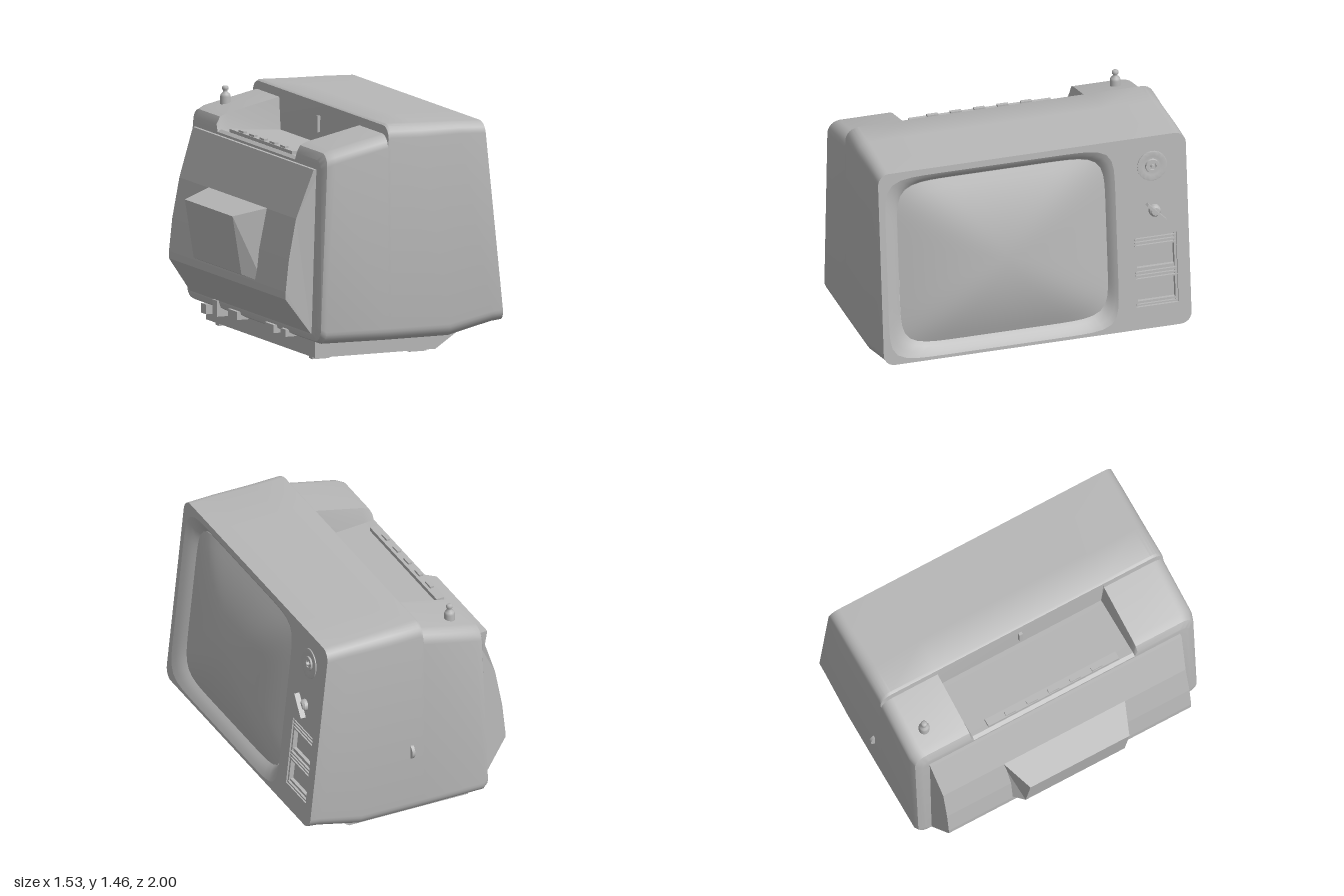
import * as THREE from 'three';
import { toCreasedNormals } from 'three/addons/utils/BufferGeometryUtils.js';

const grey = new THREE.MeshStandardMaterial({ color: 0xb8b8b8, side: THREE.DoubleSide });
grey.name = 'grey plastic';

// x of the tilted front panel at height y
const panelX = (y) => 0.758 - (y - 0.2) * 0.105;

// Skins a list of equal-length rings, optionally closing the last one
function loft(rings, cap = false, crease = 0.6) {
  const n = rings[0].length, idx = [];
  for (let i = 0; i < rings.length - 1; i++) {
    for (let j = 0; j < n; j++) {
      const k = (j + 1) % n, a = i * n + j, b = i * n + k;
      idx.push(a, b, b + n, a, b + n, a + n);
    }
  }
  if (cap) {
    const last = rings[rings.length - 1], base = (rings.length - 1) * n;
    const flat = last.map((p) => new THREE.Vector2(p[2], p[1]));
    for (const f of THREE.ShapeUtils.triangulateShape(flat, [])) idx.push(...f.map((v) => v + base));
  }
  const geo = new THREE.BufferGeometry();
  geo.setAttribute('position', new THREE.Float32BufferAttribute(rings.flat(2), 3));
  geo.setIndex(idx);
  return toCreasedNormals(geo, crease);
}

// Moves geometry drawn in panel space (across, height, out) onto the tilted panel
function onPanel(geo) {
  const p = geo.attributes.position;
  for (let i = 0; i < p.count; i++) {
    const u = p.getX(i), y = p.getY(i), d = p.getZ(i);
    p.setXYZ(i, panelX(y) + d, y, -u);
  }
  return toCreasedNormals(geo, 0.6);
}

// Rounded cross-section of the cabinet, with an optional pocket floor in its top edge
function section([xt, yt, xb, yb, hz, r, floor = yt]) {
  const pts = [], cz = 0.015;
  const arc = (z, y, start) => {
    for (let i = 0; i <= 6; i++) {
      const a = start + (i / 6) * Math.PI / 2;
      pts.push([z + r * Math.cos(a), y + r * Math.sin(a)]);
    }
  };
  arc(cz + hz - r, yb + r, -Math.PI / 2);
  arc(cz + hz - r, yt - r, 0);
  pts.push([0.585, yt], [0.565, floor], [-0.555, floor], [-0.575, yt]);
  arc(cz - hz + r, yt - r, Math.PI / 2);
  arc(cz - hz + r, yb + r, Math.PI);
  return pts.map(([z, y]) => [xb + (xt - xb) * (y - yb) / (yt - yb), y, z]);
}

// Bowed rectangular loop in panel space
function bowedLoop(cu, cy, hu, hy, power, depth) {
  const pts = [];
  for (let i = 0; i < 96; i++) {
    const a = (i / 96) * Math.PI * 2, c = Math.cos(a), s = Math.sin(a);
    const k = Math.pow(Math.abs(c) ** power + Math.abs(s) ** power, -1 / power);
    pts.push([cu + hu * c * k, cy + hy * s * k, depth]);
  }
  return pts;
}

export function createModel() {
  const model = new THREE.Group();
  const add = (name, geo, x = 0, y = 0, z = 0) => {
    const mesh = new THREE.Mesh(geo, grey);
    mesh.name = name;
    mesh.position.set(x, y, z);
    model.add(mesh);
    return mesh;
  };
  const box = (name, x0, x1, y0, y1, z0, z1) =>
    add(name, new THREE.BoxGeometry(x1 - x0, y1 - y0, z1 - z0), (x0 + x1) / 2, (y0 + y1) / 2, (z0 + z1) / 2);
  const panelBox = (name, u0, u1, y0, y1, d0, d1) =>
    add(name, onPanel(new THREE.BoxGeometry(u1 - u0, y1 - y0, d1 - d0)
      .translate((u0 + u1) / 2, (y0 + y1) / 2, (d0 + d1) / 2)));
  const side = (name, points, z0, z1) => {
    const shape = new THREE.Shape(points.map((p) => new THREE.Vector2(...p)));
    return add(name, new THREE.ExtrudeGeometry(shape, { depth: z1 - z0, bevelEnabled: false }), 0, 0, z0);
  };

  // Cabinet: front to back, stepping down to the rear ledge with its pocket
  const sections = [
    [0.628, 1.44, 0.758, 0.2, 0.985, 0.07],
    [0.45, 1.447, 0.69, 0.193, 0.985, 0.07],
    [0.2, 1.453, 0.41, 0.125, 0.985, 0.08],
    [0.0, 1.46, 0.0, 0.125, 0.985, 0.08],
    [-0.016, 1.45, -0.016, 0.125, 0.985, 0.08],
    [-0.022, 1.4, -0.022, 0.125, 0.985, 0.08, 1.2],
    [-0.37, 1.325, -0.44, 0.13, 0.985, 0.08, 1.225],
    [-0.42, 1.305, -0.468, 0.145, 0.97, 0.08, 1.23],
    [-0.443, 1.26, -0.48, 0.18, 0.93, 0.07, 1.215],
  ].map(section);
  add('cabinet', loft(sections, true));

  // Front panel with openings for the screen and the tuner window
  const face = new THREE.Shape(sections[0].map((p) => new THREE.Vector2(-p[2], p[1])));
  const rim = bowedLoop(-0.225, 0.81, 0.735, 0.59, 10, 0);
  const windowRect = (d) => [[0.62, 0.345, d], [0.89, 0.345, d], [0.89, 0.8, d], [0.62, 0.8, d]];
  for (const loop of [rim, windowRect(0)]) {
    face.holes.push(new THREE.Path(loop.map((p) => new THREE.Vector2(p[0], p[1]))));
  }
  add('frontPanel', onPanel(new THREE.ShapeGeometry(face)));

  // Flared bezel and bulging screen
  const bezel = [rim,
    bowedLoop(-0.218, 0.812, 0.712, 0.568, 9, -0.012),
    bowedLoop(-0.21, 0.815, 0.685, 0.545, 8, -0.032),
    bowedLoop(-0.205, 0.815, 0.665, 0.525, 8, -0.055)];
  add('bezel', onPanel(loft(bezel)));
  const glass = [];
  for (let i = 0; i <= 10; i++) {
    const s = Math.max(1 - i / 10, 0.001);
    glass.push(bowedLoop(-0.205, 0.815, 0.665 * s, 0.525 * s, 2 + 6 * s, -0.05 + 0.11 * (1 - s * s)));
  }
  add('screen', onPanel(loft(glass)));

  // Tuner window: recess, ribbed bars and dials
  add('windowRecess', onPanel(loft([windowRect(0), windowRect(-0.04)])));
  panelBox('windowBack', 0.62, 0.89, 0.345, 0.8, -0.05, -0.04);
  for (const [y0, y1] of [[0.725, 0.8], [0.51, 0.59], [0.345, 0.375]]) {
    panelBox('windowBar', 0.62, 0.89, y0, y1, -0.04, -0.018);
    for (let y = y0 + 0.006; y < y1 - 0.01; y += 0.022) {
      panelBox('windowRib', 0.625, 0.885, y, y + 0.01, -0.018, -0.004);
    }
  }
  for (const u of [0.62, 0.875]) panelBox('windowPost', u, u + 0.015, 0.345, 0.8, -0.04, -0.01);

  // Upper dial: concentric rings around a small stem
  const dial = [[0.095, 0], [0.095, 0.006], [0.088, 0.008], [0.06, 0.002], [0.045, 0.002],
    [0.042, 0.012], [0.024, 0.012], [0.022, 0.005], [0.012, 0.005], [0.012, 0.026], [0, 0.026]];
  const lathe = (pts, seg = 32) => new THREE.LatheGeometry(pts.map((p) => new THREE.Vector2(...p)), seg);
  add('upperDial', onPanel(lathe(dial).rotateX(Math.PI / 2).translate(0.75, 1.25, 0)));

  // Lower knob with a slanted grip
  add('lowerKnob', onPanel(lathe([[0.038, 0], [0.036, 0.02], [0.025, 0.032], [0, 0.034]], 24)
    .rotateX(Math.PI / 2).translate(0.755, 0.962, 0)));
  add('knobGrip', onPanel(new THREE.BoxGeometry(0.16, 0.016, 0.035)
    .rotateZ(-Math.PI / 4).translate(0.755, 0.965, 0.04)));

  // Rear shell, flaring where it meets the cabinet
  const shell = side('rearShell', [[-0.42, 1.2], [-0.465, 1.2], [-0.57, 0.9], [-0.618, 0.65], [-0.64, 0.45],
    [-0.64, 0.405], [-0.485, 0.19], [-0.42, 0.19]], -0.84, 0.85);
  const sp = shell.geometry.attributes.position;
  for (let i = 0; i < sp.count; i++) {
    if (sp.getX(i) > -0.5) sp.setZ(i, sp.getZ(i) + (sp.getZ(i) > 0.5 ? 0.03 : -0.03));
  }
  shell.geometry.computeVertexNormals();

  // Tapered tube cover on the back
  const coverRing = (xb, yb, xt, yt, h) =>
    [[xb, yb, 0.005 + h], [xt, yt, 0.005 + h], [xt, yt, 0.005 - h], [xb, yb, 0.005 - h]];
  add('tubeCover', loft([coverRing(-0.6, 0.445, -0.55, 0.907, 0.43),
    coverRing(-0.705, 0.49, -0.765, 0.853, 0.345)], true, 0.1));

  // Pocket fittings: slotted strip and a small tab
  box('slotStrip', -0.42, -0.37, 1.2, 1.25, -0.44, 0.47);
  for (let i = 0; i < 5; i++) {
    const z = -0.28 + i * 0.15;
    box('slotRib', -0.415, -0.39, 1.245, 1.262, z - 0.035, z + 0.035);
  }
  box('pocketTab', -0.036, -0.016, 1.27, 1.37, -0.012, 0.012);

  // Aerial socket on the ledge
  add('aerialSocket', lathe([[0.033, 0], [0.033, 0.085], [0.028, 0.1], [0.014, 0.112], [0.014, 0.125],
    [0.02, 0.128], [0.02, 0.142], [0.013, 0.15], [0, 0.15]], 20), -0.275, 1.3, -0.81);

  // Small lug on the side wall
  add('sideLug', new THREE.CylinderGeometry(0.05, 0.05, 0.02, 24).rotateZ(Math.PI / 2), 0.06, 0.57, -0.95);

  // Plinth and feet
  side('plinth', [[-0.42, 0.17], [-0.42, 0.022], [0.39, 0.022], [0.62, 0.175], [0.4, 0.2]], -0.775, 0.8);
  for (const x of [-0.34, 0.31]) {
    for (const z of [-0.665, 0.69]) box('foot', x - 0.057, x + 0.057, 0, 0.024, z - 0.028, z + 0.028);
  }

  // Rear sockets and controls along the bottom
  for (const [z, w, h] of [[-0.49, 0.06, 0.1], [-0.23, 0.13, 0.05], [0.3, 0.13, 0.05], [0.5, 0.07, 0.045]]) {
    box('rearControl', -0.495, -0.41, 0.14 - h / 2, 0.14 + h / 2, z - w / 2, z + w / 2);
  }
  box('rearLedge', -0.465, -0.41, 0.07, 0.13, -0.75, -0.68);
  return model;
}
